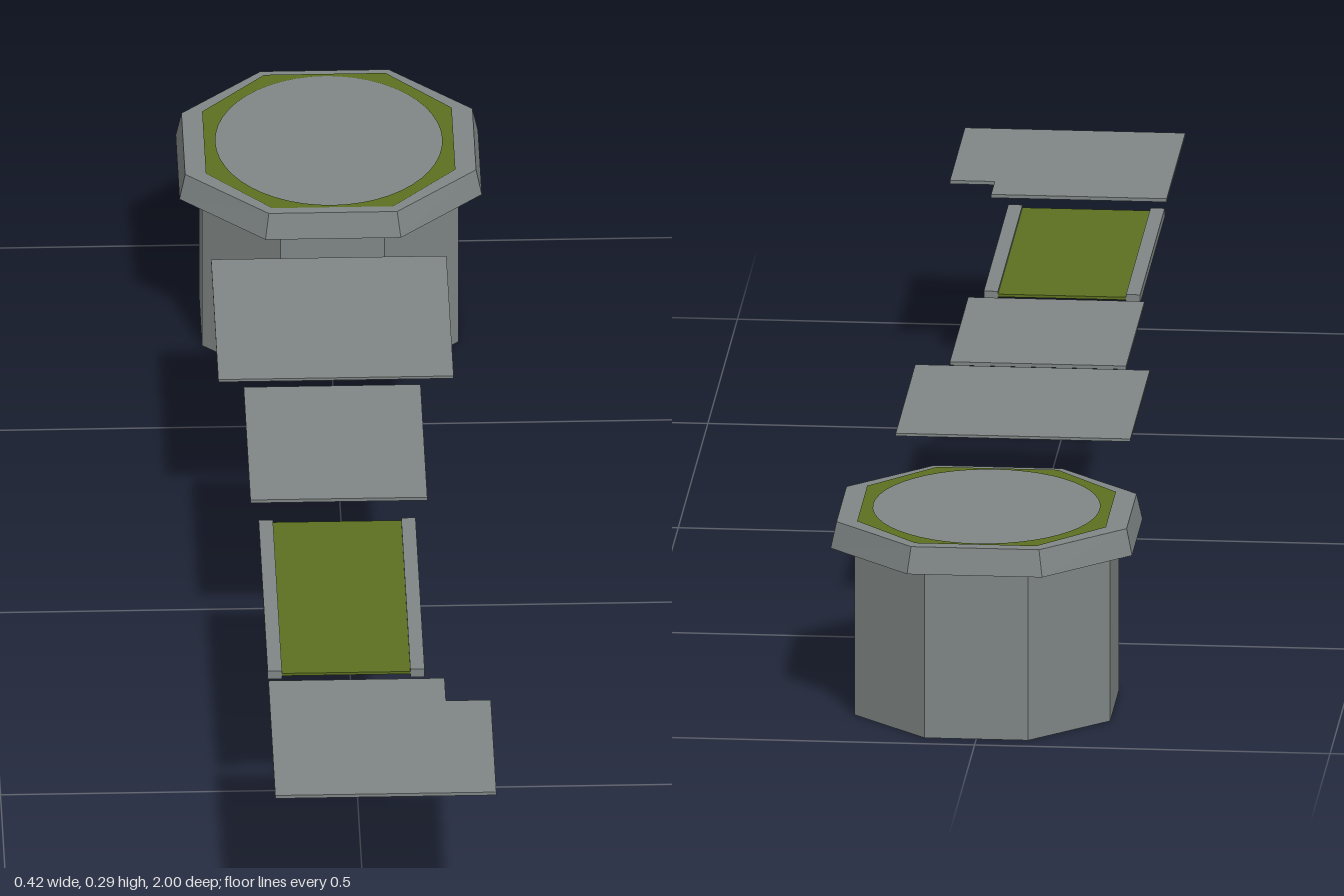
import * as THREE from 'three';

// Octagon corners, counter-clockwise: half extents (ax, az), half lengths of straight sides (hx, hz)
function octagon(ax, az, hx, hz) {
  return [[ax, -hz], [ax, hz], [hx, az], [-hx, az], [-ax, hz], [-ax, -hz], [-hx, -az], [hx, -az]]
    .map(([x, y]) => new THREE.Vector2(x, y));
}

// Open flat-sided wall between a lower and an upper outline
function wall(lower, y0, upper, y1) {
  const p = [];
  lower.forEach((a, i) => {
    const j = (i + 1) % lower.length;
    const b = lower[j], c = upper[j], d = upper[i];
    p.push(a.x, y0, -a.y, b.x, y0, -b.y, c.x, y1, -c.y);
    p.push(a.x, y0, -a.y, c.x, y1, -c.y, d.x, y1, -d.y);
  });
  const g = new THREE.BufferGeometry();
  g.setAttribute('position', new THREE.Float32BufferAttribute(p, 3));
  g.computeVertexNormals();
  return g;
}

export function createModel() {
  const model = new THREE.Group();
  const grey = new THREE.MeshStandardMaterial({ color: 0x7f8685, side: THREE.DoubleSide });
  grey.name = 'steel grey';
  const green = new THREE.MeshStandardMaterial({ color: 0x5c7020, side: THREE.DoubleSide });
  green.name = 'olive green';

  const add = (parent, name, geometry, material) => {
    const mesh = new THREE.Mesh(geometry, material);
    mesh.name = name;
    parent.add(mesh);
    return mesh;
  };
  const slab = (name, x0, x1, y0, y1, z0, z1, material = grey) =>
    add(model, name, new THREE.BoxGeometry(x1 - x0, y1 - y0, z1 - z0), material)
      .position.set((x0 + x1) / 2, (y0 + y1) / 2, (z0 + z1) / 2);

  // Octagonal drum, open underneath, with a flared hollow skirt around its lid
  const drum = new THREE.Group();
  drum.name = 'drum';
  drum.position.z = -0.797;
  model.add(drum);
  const body = octagon(0.18, 0.175, 0.073, 0.073);
  const rimLow = octagon(0.212, 0.203, 0.095, 0.088);
  const rimTop = octagon(0.204, 0.195, 0.09, 0.084);
  add(drum, 'drumWall', wall(body, 0, body, 0.286), grey);
  add(drum, 'lidSkirt', wall(rimLow, 0.248, rimTop, 0.286), grey);
  const lid = new THREE.ShapeGeometry(new THREE.Shape(rimTop)).rotateX(-Math.PI / 2);
  add(drum, 'lid', lid, grey).position.y = 0.286;

  // Green band painted on the lid, octagonal outside and round inside
  const band = new THREE.Shape(octagon(0.175, 0.183, 0.085, 0.085));
  band.holes.push(new THREE.Path().absellipse(0, 0, 0.159, 0.177, 0, Math.PI * 2, true));
  add(drum, 'lidBand', new THREE.ShapeGeometry(band, 24).rotateX(-Math.PI / 2), green).position.y = 0.2875;

  // Plain panels
  slab('widePanel', -0.175, 0.155, 0.287, 0.291, -0.47, -0.14);
  slab('narrowPanel', -0.14, 0.108, 0.285, 0.29, 0.125 - 0.245, 0.19);

  // Green panel held between two grey rails
  slab('greenPanel', -0.11, 0.07, 0.277, 0.281, 0.237, 0.652, green);
  slab('rightRail', -0.13, -0.11, 0.272, 0.285, 0.237, 0.652);
  slab('leftRail', 0.07, 0.09, 0.272, 0.285, 0.237, 0.652);

  // Front panel with a notch in its rear left corner
  const outline = new THREE.Shape([
    [-0.13, -1], [0.18, -1], [0.18, -0.747], [0.117, -0.747], [0.117, -0.685], [-0.13, -0.685],
  ].map(([x, y]) => new THREE.Vector2(x, y)));
  const notched = new THREE.ExtrudeGeometry(outline, { depth: 0.005, bevelEnabled: false });
  add(model, 'notchedPanel', notched.rotateX(-Math.PI / 2), grey).position.y = 0.284;

  return model;
}
